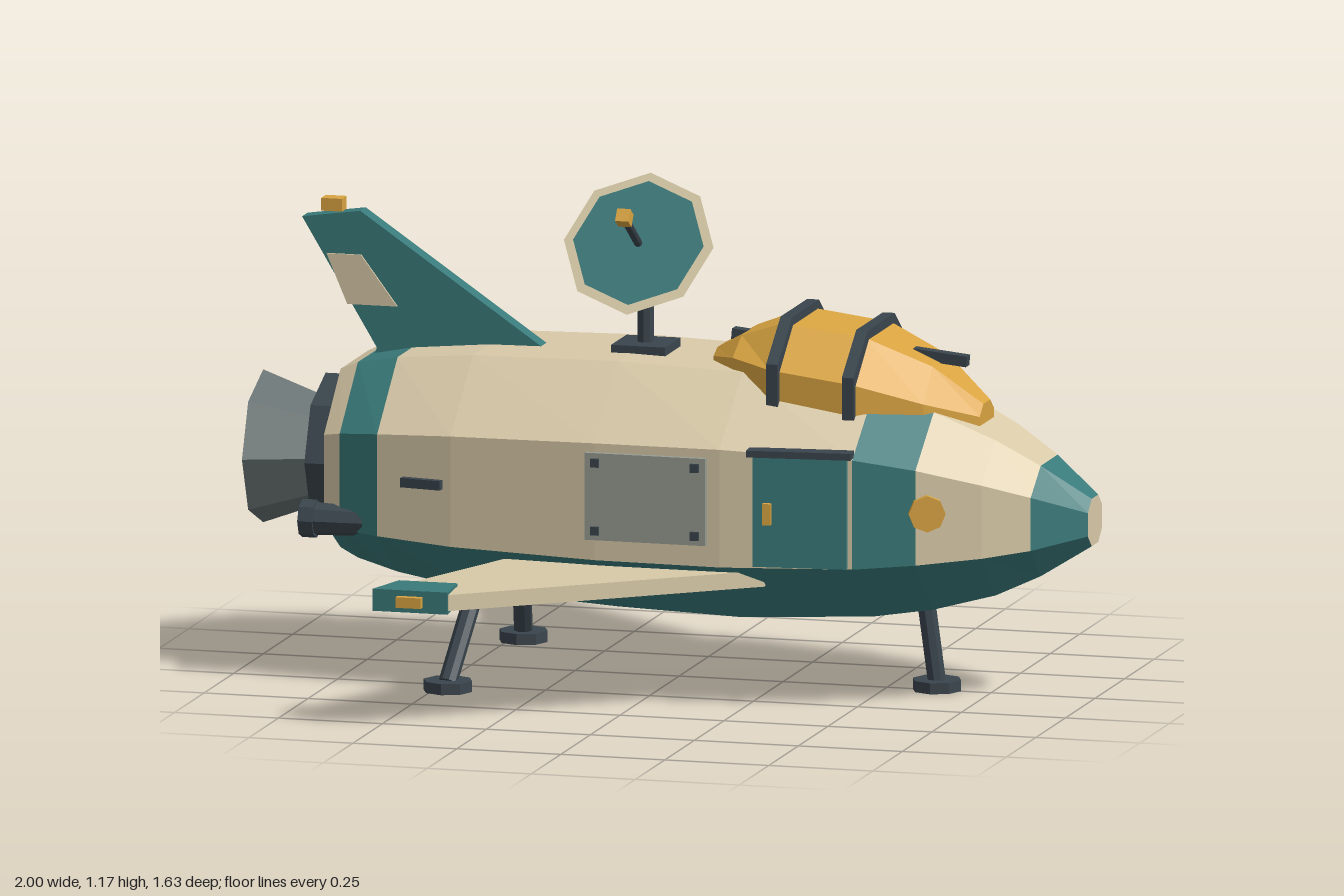
import * as THREE from 'three';

const mat = (color) => new THREE.MeshStandardMaterial({ color, flatShading: true });

export function createModel() {
  const model = new THREE.Group();
  const tan = mat(0xd8c9a8), teal = mat(0x3a7a7a), gold = mat(0xd9a441);
  const dark = mat(0x3a454d), grey = mat(0x667070), plate = mat(0x979c92);

  const add = (name, geometry, material, pos = [0, 0, 0], parent = model) => {
    const mesh = new THREE.Mesh(geometry, material);
    mesh.name = name;
    mesh.position.set(...pos);
    parent.add(mesh);
    return mesh;
  };
  const box = (name, size, pos, material, parent) =>
    add(name, new THREE.BoxGeometry(...size), material, pos, parent);
  const alongX = (rRear, rFront, length, sides = 8) =>
    new THREE.CylinderGeometry(rRear, rFront, length, sides).rotateZ(Math.PI / 2);
  // Straight rod between two points
  const strut = (name, a, b, r, material, parent) => {
    const from = new THREE.Vector3(...a), dir = new THREE.Vector3(...b).sub(from);
    const rod = add(name, new THREE.CylinderGeometry(r, r, dir.length(), 8), material, [0, 0, 0], parent);
    rod.position.copy(from).addScaledVector(dir, 0.5);
    rod.quaternion.setFromUnitVectors(new THREE.Vector3(0, 1, 0), dir.normalize());
  };
  // Flat outline extruded through a thickness centred on zero
  const slab = (points, thickness) =>
    new THREE.ExtrudeGeometry(new THREE.Shape(points.map((p) => new THREE.Vector2(...p))),
      { depth: thickness, bevelEnabled: false }).translate(0, 0, -thickness / 2);
  // Skin over cross-sections along x; keep() picks which sides are built
  const loft = (rings, keep = () => true, capStart = true, capEnd = true) => {
    const v = [], n = rings[0].length;
    const tri = (...corners) => corners.forEach((c) => v.push(...c));
    for (let i = 0; i + 1 < rings.length; i++) {
      for (let j = 0; j < n; j++) {
        if (!keep(j)) continue;
        const A = rings[i], B = rings[i + 1], k = (j + 1) % n;
        tri(A[j], A[k], B[k]);
        tri(A[j], B[k], B[j]);
      }
    }
    const first = rings[0], last = rings[rings.length - 1];
    for (let j = 1; j + 1 < n; j++) {
      if (capStart) tri(first[0], first[j + 1], first[j]);
      if (capEnd) tri(last[0], last[j], last[j + 1]);
    }
    const g = new THREE.BufferGeometry();
    g.setAttribute('position', new THREE.Float32BufferAttribute(v, 3));
    g.computeVertexNormals();
    return g;
  };

  // Hull stations: x, half width, top, upper edge, lower edge, bottom
  const stations = [
    [-0.78, 0.26, 0.705, 0.575, 0.37, 0.285], [-0.735, 0.285, 0.725, 0.585, 0.36, 0.265],
    [-0.635, 0.32, 0.745, 0.595, 0.355, 0.24], [-0.45, 0.35, 0.762, 0.605, 0.345, 0.21],
    [-0.1, 0.365, 0.767, 0.61, 0.335, 0.19], [0.2, 0.363, 0.757, 0.61, 0.333, 0.18],
    [0.51, 0.33, 0.72, 0.595, 0.338, 0.195], [0.65, 0.288, 0.68, 0.57, 0.347, 0.215],
    [0.79, 0.22, 0.615, 0.53, 0.358, 0.25], [0.89, 0.157, 0.555, 0.495, 0.37, 0.295],
    [1.0, 0.06, 0.475, 0.447, 0.392, 0.363],
  ];
  const hullRings = stations.map(([x, w, top, up, lo, bot]) => {
    const a = w * 0.46;
    return [[x, top, a], [x, up, w], [x, lo, w], [x, bot, a],
      [x, bot, -a], [x, lo, -w], [x, up, -w], [x, top, -a]];
  });
  const isBelly = (j) => j >= 2 && j <= 4;
  const upper = (name, i, k, material) =>
    add(name, loft(hullRings.slice(i, k + 1), (j) => !isBelly(j), false, false), material);
  upper('tailCollar', 0, 1, tan);
  upper('rearBand', 1, 2, teal);
  upper('upperHull', 2, 6, tan);
  upper('frontBand', 6, 7, teal);
  upper('noseHull', 7, 9, tan);
  upper('noseCone', 9, 10, teal);
  add('belly', loft(hullRings, isBelly, false, false), teal);
  add('tailBulkhead', loft(hullRings.slice(0, 2), () => false, true, false), tan);
  add('noseTip', loft(hullRings.slice(-2), () => false, false, true), tan);

  // Canopy with two frames and small grab bars
  const arch = (x, w, top, mid, base) => [[x, top, w * 0.48], [x, mid, w], [x, base, w],
    [x, base, -w], [x, mid, -w], [x, top, -w * 0.48]];
  add('canopy', loft([
    arch(0.1, 0.06, 0.785, 0.77, 0.72), arch(0.17, 0.145, 0.825, 0.785, 0.7),
    arch(0.28, 0.22, 0.865, 0.775, 0.69), arch(0.48, 0.22, 0.84, 0.75, 0.665),
    arch(0.63, 0.15, 0.775, 0.7, 0.62), arch(0.74, 0.06, 0.685, 0.66, 0.58),
  ]), gold);
  for (const [x, top] of [[0.29, 0.882], [0.472, 0.86]]) {
    add('canopyFrame', loft([-0.014, 0.014].map((d) => arch(x + d, 0.235, top, top - 0.09, top - 0.19))), dark);
  }
  box('rearGrabBar', [0.12, 0.025, 0.03], [0.19, 0.81, 0], dark).rotation.z = -0.1;
  box('frontGrabBar', [0.13, 0.025, 0.03], [0.63, 0.785, 0], dark).rotation.z = -0.1;

  // Tail fin
  add('tailFin', slab([[-0.74, 0.68], [-0.72, 0.74], [-0.9, 1.04], [-0.76, 1.06], [-0.32, 0.76], [-0.32, 0.7]], 0.046), teal);
  add('finPanel', slab([[-0.84, 0.957], [-0.757, 0.957], [-0.67, 0.84], [-0.79, 0.84]], 0.056), tan);
  box('finLight', [0.05, 0.03, 0.04], [-0.83, 1.07, 0], gold);

  // Wings, rear legs and thrusters, mirrored
  for (const s of [1, -1]) {
    const flat = (points, t) => slab(points.map(([x, z]) => [x, z * s]), t).rotateX(Math.PI / 2);
    add('wing', flat([[-0.31, 0.28], [-0.505, 0.79], [-0.33, 0.79], [0.29, 0.3], [0.29, 0.25]], 0.038), tan, [0, 0.3, 0]);
    add('wingTip', flat([[-0.48, 0.68], [-0.51, 0.797], [-0.33, 0.797], [-0.34, 0.68]], 0.052), teal, [0, 0.3, 0]);
    box('wingLight', [0.06, 0.025, 0.025], [-0.42, 0.3, s * 0.803], gold);

    strut('rearLeg', [-0.43, 0.25, s * 0.17], [-0.465, 0.02, s * 0.32], 0.022, dark);
    add('rearFoot', new THREE.CylinderGeometry(0.058, 0.058, 0.026, 8), dark, [-0.465, 0.013, s * 0.32]);

    add('thruster', alongX(0.04, 0.034, 0.15), dark, [-0.75, 0.38, s * 0.275]);
    add('thrusterNozzle', alongX(0.045, 0.045, 0.035), dark, [-0.81, 0.38, s * 0.275]);
  }
  strut('frontLeg', [0.59, 0.24, 0], [0.62, 0.02, 0], 0.022, dark);
  add('frontFoot', new THREE.CylinderGeometry(0.058, 0.058, 0.026, 8), dark, [0.62, 0.013, 0]);

  // Main engine
  add('engineCollar', alongX(0.18, 0.18, 0.07), dark, [-0.815, 0.49, 0]);
  add('engineBell', alongX(0.18, 0.125, 0.15), grey, [-0.925, 0.49, 0]);

  // Dish antenna on its mast
  box('mastBase', [0.13, 0.025, 0.13], [-0.08, 0.772, 0], dark);
  strut('mast', [-0.08, 0.77, 0], [-0.08, 0.96, 0], 0.02, dark);
  box('mastHead', [0.045, 0.08, 0.05], [-0.08, 0.925, 0], dark);
  const dish = new THREE.Group();
  dish.name = 'dish';
  dish.position.set(-0.08, 1.025, 0.06);
  dish.rotation.x = -0.6;
  model.add(dish);
  add('dishShell', new THREE.CylinderGeometry(0.18, 0.025, 0.1, 8).rotateX(Math.PI / 2), tan, [0, 0, -0.05], dish);
  add('dishFace', new THREE.CircleGeometry(0.157, 8), teal, [0, 0, 0.004], dish);
  strut('feedRod', [0, 0, 0], [0, 0, 0.14], 0.01, dark, dish);
  box('feedHorn', [0.032, 0.032, 0.032], [0, 0, 0.148], gold, dish);

  // Portholes: three on the right flank, one on each side of the nose
  const porthole = (x, y, z, yaw) => {
    const g = new THREE.CylinderGeometry(0.043, 0.043, 0.024, 8).rotateX(Math.PI / 2);
    add('porthole', g, gold, [x, y, z]).rotation.y = yaw;
  };
  for (const x of [-0.36, -0.11, 0.16]) porthole(x, 0.49, x < -0.3 ? -0.355 : -0.366, 0);
  porthole(0.675, 0.47, 0.28, 0.38);
  porthole(0.675, 0.47, -0.28, -0.38);

  // Left flank: bolted service panel, vent and door
  box('servicePanel', [0.29, 0.205, 0.024], [0.025, 0.487, 0.366], plate);
  for (const x of [-0.12, 0.12]) {
    for (const y of [-0.08, 0.08]) box('panelBolt', [0.02, 0.02, 0.012], [0.025 + x, 0.487 + y, 0.38], dark);
  }
  box('vent', [0.1, 0.022, 0.03], [-0.52, 0.49, 0.342], dark).rotation.y = -0.15;
  const door = new THREE.Group();
  door.name = 'door';
  door.position.set(0.39, 0.472, 0.347);
  door.rotation.y = 0.106;
  model.add(door);
  box('doorLeaf', [0.22, 0.262, 0.03], [0, 0, 0], teal, door);
  box('doorLintel', [0.245, 0.016, 0.045], [0, 0.136, 0.003], dark, door);
  box('doorHandle', [0.02, 0.05, 0.02], [-0.075, -0.005, 0.018], gold, door);

  return model;
}
